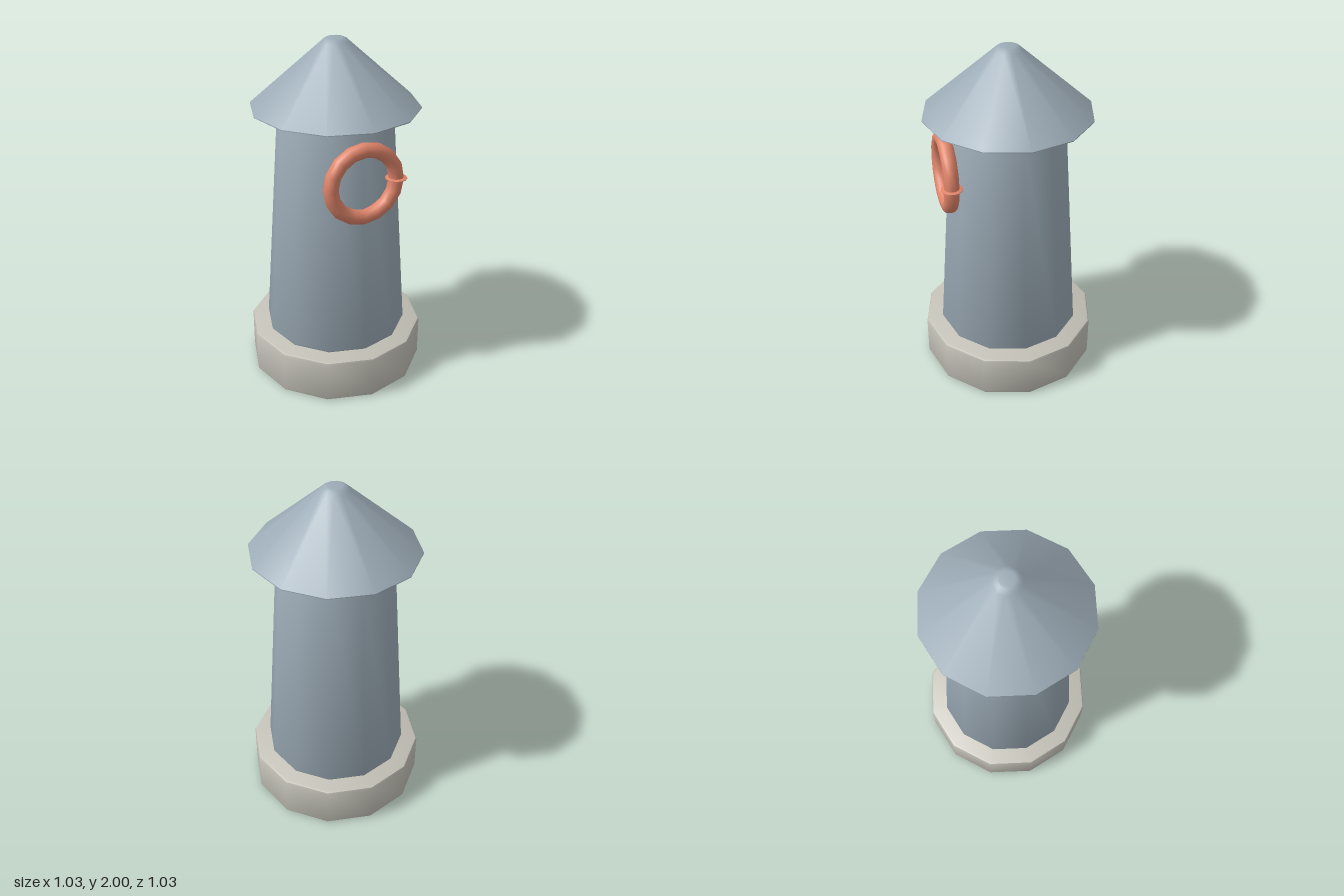
import * as THREE from 'three';
import { toCreasedNormals } from 'three/addons/utils/BufferGeometryUtils.js';

const slate = new THREE.MeshStandardMaterial({ color: 0x9cabb6 });
const stone = new THREE.MeshStandardMaterial({ color: 0xc2c0b6 });
const coral = new THREE.MeshStandardMaterial({ color: 0xe0856a });

// Solid of revolution from [radius, height] points, bottom to top
function turned(name, profile, material, sides = 12) {
  const points = profile.map(([r, y]) => new THREE.Vector2(r, y));
  const geometry = toCreasedNormals(new THREE.LatheGeometry(points, sides), 0.7);
  const mesh = new THREE.Mesh(geometry, material);
  mesh.name = name;
  return mesh;
}

// Tapered drum profile with small rounded rims
function drum(r0, y0, r1, y1, b) {
  const k = b * 0.3;
  return [
    [0, y0], [r0 - b, y0], [r0 - k, y0 + k], [r0, y0 + b],
    [r1, y1 - b], [r1 - k, y1 - k], [r1 - b, y1], [0, y1],
  ];
}

export function createModel() {
  const model = new THREE.Group();
  model.name = 'tower';

  // Plinth and tapering tower
  model.add(turned('base', drum(0.515, 0, 0.515, 0.26, 0.015), stone));
  model.add(turned('body', drum(0.416, 0.26, 0.323, 1.62, 0.016), slate));

  // Overhanging conical roof with a blunt, softened tip
  model.add(turned('roof', [
    [0, 1.62], [0.473, 1.62], [0.473, 1.625], [0.078, 1.978],
    [0.065, 1.99], [0.05, 1.998], [0.04, 2], [0, 2],
  ], slate));

  // Life ring hung on the front
  const lifeRing = new THREE.Group();
  lifeRing.name = 'lifeRing';
  const hoop = new THREE.Mesh(new THREE.TorusGeometry(0.194, 0.042, 12, 16), coral);
  hoop.name = 'hoop';
  lifeRing.add(hoop);

  // Thin collar around the hoop
  const collar = turned('collar', [
    [0.036, -0.008], [0.06, -0.002], [0.06, 0.002], [0.036, 0.008],
  ], coral);
  collar.position.x = 0.194;
  lifeRing.add(collar);
  lifeRing.position.set(0, 1.296, 0.36);
  model.add(lifeRing);

  return model;
}
